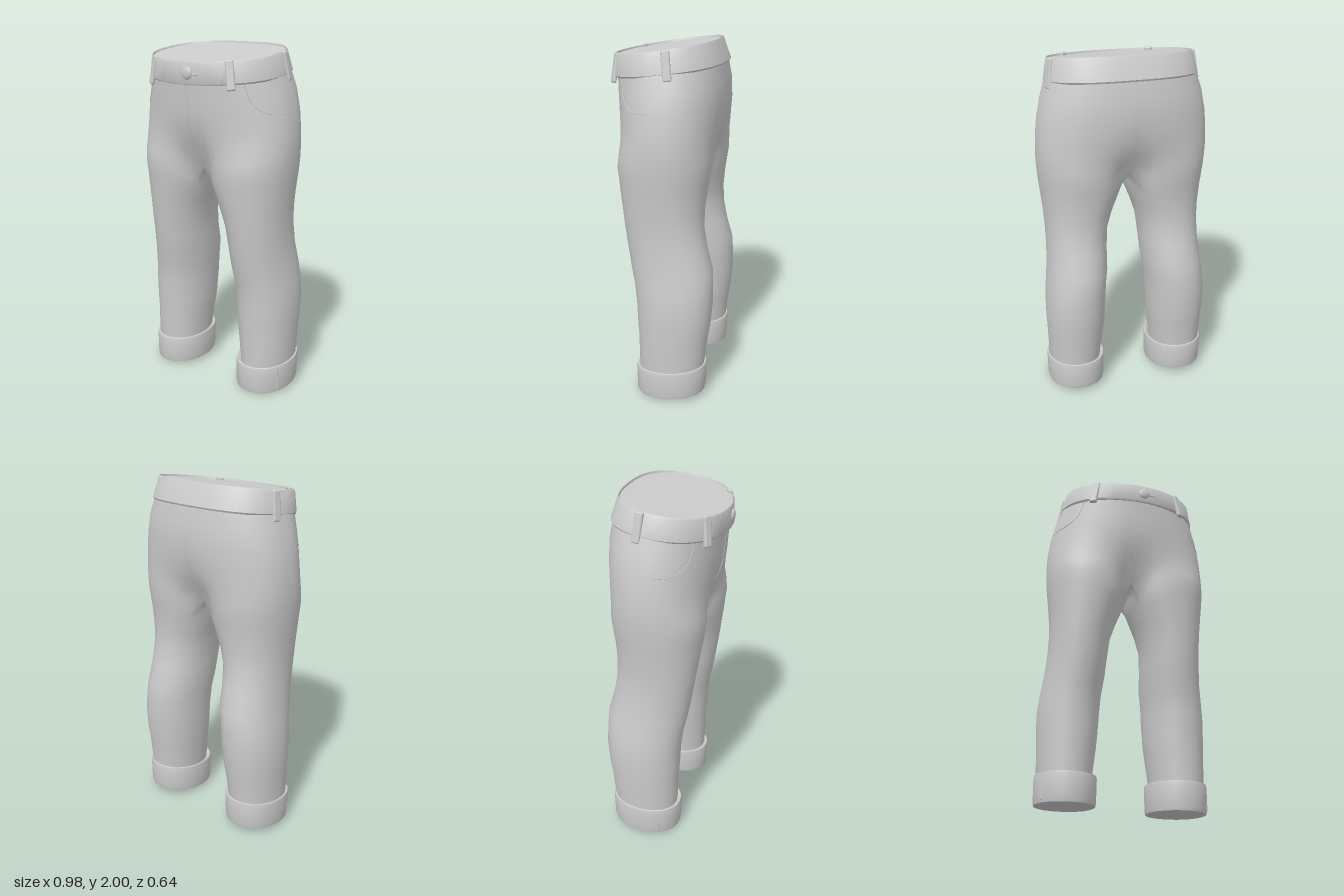
import * as THREE from 'three';
import { mergeGeometries, mergeVertices, toCreasedNormals } from 'three/addons/utils/BufferGeometryUtils.js';
import { RoundedBoxGeometry } from 'three/addons/geometries/RoundedBoxGeometry.js';

const OUTER = 28, INNER = 10, COUNT = OUTER + INNER;
const CROTCH = 12; // index of the row where the two legs join

// y, inner x, outer x, front z, back z, blend from leg oval (0) to half torso (1)
const ROWS = [
  [0.10, 0.170, 0.460, 0.105, -0.262, 0],
  [0.20, 0.166, 0.468, 0.110, -0.268, 0],
  [0.36, 0.146, 0.473, 0.115, -0.286, 0],
  [0.43, 0.140, 0.477, 0.120, -0.298, 0],
  [0.56, 0.133, 0.479, 0.126, -0.308, 0],
  [0.66, 0.128, 0.470, 0.138, -0.307, 0],
  [0.76, 0.116, 0.458, 0.160, -0.302, 0],
  [0.88, 0.110, 0.450, 0.180, -0.268, 0],
  [1.00, 0.100, 0.450, 0.198, -0.246, 0],
  [1.10, 0.068, 0.456, 0.212, -0.245, 0],
  [1.20, 0.028, 0.466, 0.227, -0.255, 0],
  [1.26, 0.005, 0.473, 0.234, -0.264, 0],
  [1.33, 0.000, 0.480, 0.242, -0.274, 0],
  [1.39, 0.000, 0.484, 0.248, -0.284, 0.25],
  [1.46, 0.000, 0.486, 0.254, -0.295, 0.6],
  [1.55, 0.000, 0.482, 0.265, -0.307, 0.9],
  [1.65, 0.000, 0.470, 0.275, -0.314, 1],
  [1.75, 0.000, 0.448, 0.282, -0.310, 1],
  [1.87, 0.000, 0.410, 0.290, -0.288, 1],
];

const bend = (v, p) => Math.sign(v) * Math.abs(v) ** p;

// Point on an oval; the angle runs from the front towards +x, a lower back value is squarer
function oval(angle, x0, x1, zf, zb, back) {
  const s = Math.sin(angle), c = Math.cos(angle), p = c < 0 ? back : 0.97;
  return [
    (x0 + x1) / 2 + (x1 - x0) / 2 * bend(s, p),
    (zf + zb) / 2 + (zf - zb) / 2 * bend(c, p),
  ];
}

// Point of one trouser half; f is 0..1 round the outside, 1..2 back along the inside
function halfPoint(f, [y, xi, xo, zf, zb, w]) {
  const corner = 0.9, inside = f > 1;
  const angle = inside
    ? Math.PI + corner + (f - 1) * (Math.PI - 2 * corner)
    : -corner + f * (Math.PI + 2 * corner);
  const leg = oval(angle, xi, xo, zf, zb, 0.93);
  const torso = inside
    ? [0, THREE.MathUtils.lerp(zb, zf, f - 1)]
    : oval(f * Math.PI, -xo, xo, zf, zb, 0.8);
  let x = THREE.MathUtils.lerp(leg[0], torso[0], w);
  const z = THREE.MathUtils.lerp(leg[1], torso[1], w);
  if (y >= ROWS[CROTCH][0] && (f >= 1 || f === 0)) x = 0;
  const tilt = 0.12 * THREE.MathUtils.smoothstep(y, 1.5, 1.84);
  return new THREE.Vector3(Math.max(x, 0), y - tilt * z, z);
}

function rowAt(y) {
  const i = Math.max(1, ROWS.findIndex((r) => r[0] >= y));
  const t = (y - ROWS[i - 1][0]) / (ROWS[i][0] - ROWS[i - 1][0]);
  return ROWS[i].map((v, k) => THREE.MathUtils.lerp(ROWS[i - 1][k], v, t));
}

// The right leg stands slightly further out
const stance = (y, side) => side < 0 ? 0.01 * (1 - THREE.MathUtils.smoothstep(y, 0.4, 1.1)) : 0;

// Skin over closed rings listed from the bottom up
function loft(rings, side = 1, skip = () => false) {
  const n = rings[0].length, index = [];
  for (let i = 0; i < rings.length - 1; i++) {
    for (let j = 0; j < n; j++) {
      if (skip(i, j)) continue;
      const k = (j + 1) % n;
      const a = i * n + j, b = i * n + k, c = b + n, d = a + n;
      if (side > 0) index.push(a, b, c, a, c, d);
      else index.push(a, c, b, a, d, c);
    }
  }
  const positions = rings.flat().flatMap((p) => [(p.x + stance(p.y, side)) * side, p.y, p.z]);
  const geometry = new THREE.BufferGeometry();
  geometry.setAttribute('position', new THREE.Float32BufferAttribute(positions, 3));
  geometry.setIndex(index);
  return geometry;
}

// Tilted oval ring; size scales it about its centre
function ovalRing(y, tilt, [x0, x1, zf, zb, back], size = 1) {
  const cx = (x0 + x1) / 2, cz = (zf + zb) / 2;
  return Array.from({ length: 48 }, (_, j) => {
    const [x, z] = oval(j / 48 * Math.PI * 2, x0, x1, zf, zb, back);
    const pz = cz + (z - cz) * size;
    return new THREE.Vector3(cx + (x - cx) * size, y - tilt * pz, pz);
  });
}

export function createModel() {
  const group = new THREE.Group();
  const cloth = new THREE.MeshStandardMaterial({ color: 0xcccccc });
  cloth.name = 'grey cloth';
  const add = (name, geometry) => {
    const mesh = new THREE.Mesh(geometry, cloth);
    mesh.name = name;
    group.add(mesh);
    return mesh;
  };

  // Legs and seat: two mirrored halves welded along the centre seam
  const rings = ROWS.map((row) => Array.from({ length: COUNT }, (_, j) =>
    halfPoint(j <= OUTER ? j / OUTER : 1 + (j - OUTER) / INNER, row)));
  const skipInside = (i, j) => i >= CROTCH && j >= OUTER;
  const trousers = mergeVertices(mergeGeometries(
    [1, -1].map((side) => loft(rings, side, skipInside))), 1e-4);
  trousers.computeVertexNormals();
  add('trouserLegs', trousers);

  // Waistband with a closed, tilted top
  const low = [-0.42, 0.42, 0.315, -0.304, 0.77], high = [-0.398, 0.398, 0.31, -0.262, 0.75];
  add('waistband', toCreasedNormals(loft([
    ovalRing(1.842, 0.12, low, 0.93),
    ovalRing(1.836, 0.12, low, 0.985),
    ovalRing(1.845, 0.12, low),
    ovalRing(1.955, 0.14, high),
    ovalRing(1.963, 0.14, high, 0.985),
    ovalRing(1.952, 0.14, high, 0.975),
    ovalRing(1.952, 0.14, high, 0),
  ]), 0.6));

  // Turned-up cuffs with closed soles and a side seam
  const cuff = [0.141, 0.48, 0.13, -0.28, 0.93];
  for (const side of [1, -1]) {
    const name = side > 0 ? 'left' : 'right', lift = side > 0 ? 0 : 0.008;
    add(name + 'Cuff', toCreasedNormals(loft([
      ovalRing(0.018 + lift, 0.08, cuff, 0),
      ovalRing(0.012 + lift, 0.08, cuff, 0.93),
      ovalRing(0.014 + lift, 0.08, cuff, 0.965),
      ovalRing(0.03 + lift, 0.08, cuff, 0.985),
      ovalRing(0.16 + lift, 0.08, cuff),
      ovalRing(0.175 + lift, 0.08, cuff, 0.985),
      ovalRing(0.177 + lift, 0.08, cuff, 0.95),
      ovalRing(0.165 + lift, 0.08, cuff, 0.85),
    ], side), 0.6));
    const [sx, sz] = oval(1.05, ...cuff);
    const seam = add(name + 'CuffSeam', new RoundedBoxGeometry(0.01, 0.135, 0.01, 2, 0.004));
    seam.position.set((sx + stance(0, side) - 0.005) * side, 0.093 + lift, sz);
    seam.rotation.y = 1.05 * side;
  }

  // Belt loops: x, y, z, turn
  for (const [x, y, z, turn] of [[0.263, 1.857, 0.247, 0.55], [0.405, 1.893, -0.07, 1.72]]) {
    for (const side of [1, -1]) {
      const loop = add('beltLoop', new RoundedBoxGeometry(0.046, 0.158, 0.024, 2, 0.009));
      loop.position.set(x * side, y, z);
      loop.rotation.set(-0.17, turn * side, 0.1 * side, 'YXZ');
    }
  }

  // Front pocket edges and fly seam, laid on the cloth
  const line = (name, points, side) => {
    const path = points.map(([f, y]) => halfPoint(f, rowAt(y)).multiply(new THREE.Vector3(side, 1, 1)));
    add(name, new THREE.TubeGeometry(new THREE.CatmullRomCurve3(path), 32, 0.0025, 6));
  };
  const pocket = [[0.265, 1.84], [0.272, 1.76], [0.29, 1.71], [0.335, 1.675], [0.39, 1.66], [0.46, 1.655]];
  line('leftPocketEdge', pocket, 1);
  line('rightPocketEdge', pocket, -1);
  line('flySeam', [[0, 1.83], [0, 1.75], [0, 1.65], [0, 1.55], [0, 1.46]], 1);

  // Button and buttonhole
  const button = add('button', new THREE.SphereGeometry(0.034, 24, 12));
  button.scale.z = 0.4;
  button.position.set(0.027, 1.86, 0.312);
  const hole = add('buttonhole', new RoundedBoxGeometry(0.05, 0.008, 0.01, 2, 0.003));
  hole.position.set(0.075, 1.856, 0.307);
  hole.rotation.y = 0.12;

  return group;
}
